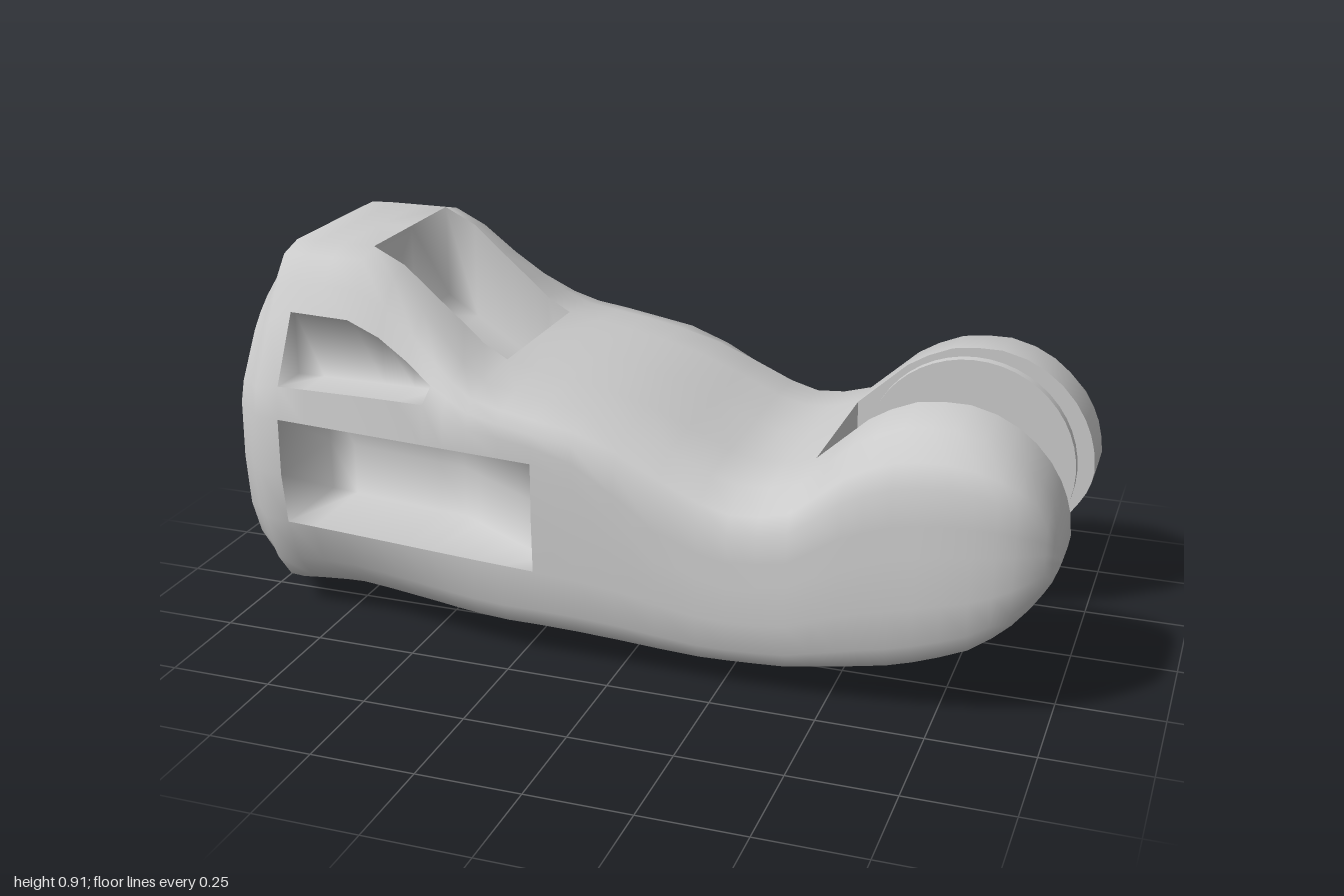
import * as THREE from 'three';
import { toCreasedNormals } from 'three/addons/utils/BufferGeometryUtils.js';

const { lerp, smoothstep } = THREE.MathUtils;
const material = new THREE.MeshStandardMaterial({ color: 0xcccccc, side: THREE.DoubleSide });

// Piecewise-linear curve through [x, value] points
const curve = (pts) => (x) => {
  let i = 1;
  while (i < pts.length - 1 && x > pts[i][0]) i++;
  const [x0, v0] = pts[i - 1], [x1, v1] = pts[i];
  return lerp(v0, v1, Math.min(1, Math.max(0, (x - x0) / (x1 - x0))));
};

// Side profile: upper and lower outline, joined by a round nose
const topLine = curve([[-0.99, 0.82], [-0.91, 0.915], [-0.7, 0.915], [-0.62, 0.875], [-0.54, 0.805], [-0.47, 0.745],
  [-0.42, 0.70], [-0.36, 0.665], [-0.28, 0.65], [-0.2, 0.638], [-0.1, 0.618], [0, 0.59], [0.1, 0.55], [0.2, 0.505],
  [0.27, 0.485], [0.34, 0.49], [0.41, 0.51], [0.47, 0.565], [0.53, 0.62], [0.58, 0.65], [0.64, 0.675], [0.72, 0.685]]);
const top = (x) => x > 0.72 ? 0.4 + 0.285 * Math.sqrt(Math.max(0, 1 - ((x - 0.72) / 0.28) ** 2)) : topLine(x);
const bottom = curve([[-0.99, 0.03], [-0.91, 0], [-0.7, 0.025], [-0.47, 0.04], [-0.2, 0.05], [0.2, 0.045], [0.41, 0.055],
  [0.53, 0.07], [0.64, 0.09], [0.72, 0.115], [0.82, 0.16], [0.87, 0.198], [0.91, 0.235], [0.945, 0.278], [0.97, 0.315],
  [0.985, 0.342], [0.995, 0.37], [1, 0.4]]);
// Width factor that rounds both ends in plan
const taper = curve([[-0.99, 0.72], [-0.91, 1], [0.78, 1], [0.87, 0.95], [0.91, 0.9], [0.945, 0.83], [0.985, 0.68], [1, 0.55]]);
// Edges of the upper side recess, and the floor of the side windows
const recessTop = curve([[-0.99, 0.72], [-0.85, 0.78], [-0.7, 0.775], [-0.62, 0.74], [-0.47, 0.65], [-0.36, 0.61], [-0.2, 0.58]]);
const recessBase = curve([[-0.99, 0.6], [-0.85, 0.62], [-0.47, 0.62], [-0.36, 0.575], [-0.2, 0.55]]);
const windowFloor = curve([[-0.85, 0.21], [-0.47, 0.23], [-0.2, 0.37]]);

const stations = [-0.99, -0.95, -0.91, -0.85, -0.78, -0.7, -0.62, -0.54, -0.47, -0.42, -0.36, -0.28, -0.2, -0.1, 0, 0.1,
  0.2, 0.27, 0.34, 0.41, 0.47, 0.53, 0.58, 0.64, 0.7, 0.76, 0.82, 0.87, 0.91, 0.945, 0.97, 0.985, 0.995, 1];
const ROWS = 14;
const AXIS = 0.41; // height of the socket axis

// Half cross-section (+z side), from top centre round to bottom centre
function section(x) {
  const T = top(x), B = bottom(x), h = T - B;
  const crown = 1 - smoothstep(x, -0.62, -0.3);
  const rear = 1 - smoothstep(x, -0.88, -0.2);
  const front = smoothstep(x, -0.2, 0.15);
  const mix = (back, f) => lerp(back, T - f * h, front);
  const c = mix(recessTop(x), 0.2), d = mix(recessBase(x), 0.35);
  const slope = (x + 0.85) * 0.045;
  const pts = [
    [0, T], [0.2, T],
    [lerp(0.34, 0.265, crown), T - 0.02 * h], [lerp(0.42, 0.315, crown), lerp(T, c, 0.55)],
    [lerp(0.445, 0.355, crown), c], [lerp(0.45, 0.44, crown), d],
    [0.452, mix(0.54 - slope, 0.48)], [0.455, mix(0.4 - slope, 0.58)],
    [lerp(0.452, 0.438, rear), mix(0.27 - slope, 0.69)],
    [lerp(0.45, 0.4, rear), mix(lerp(B + 0.09, B + 0.15, rear), 0.85)],
    [lerp(0.425, 0.345, rear), mix(lerp(B + 0.04, B + 0.08, rear), 0.94)],
    [lerp(0.34, 0.285, rear), mix(lerp(B + 0.01, B + 0.045, rear), 0.985)],
    [0.2, mix(B + 0.016 * rear, 0.996)], [0.12, mix(B + 0.004, 1)], [0, B],
  ];
  // The rear end closes in towards a circle round the socket
  const round = 0.75 * (1 - smoothstep(x, -1.02, -0.9));
  return pts.map(([z, y]) => {
    const w = z > 0.2 ? 0.2 + (z - 0.2) * taper(x) : z;
    const r = Math.hypot(w, y - AXIS);
    const k = round > 0 ? lerp(1, Math.min(1, 0.4 / r), round) : 1;
    return [x, AXIS + (y - AXIS) * k, w * k];
  });
}
const grid = stations.map(section);

// Collects quads together with their mirror image across z = 0
function mirroredMesh(name, crease, fill) {
  const pos = [];
  const flip = ([x, y, z]) => [x, y, -z];
  const tri = (a, b, c) => {
    const [p, q, r] = [a, b, c].map((v) => new THREE.Vector3(...v));
    if (q.sub(p).cross(r.sub(p)).length() < 1e-8) return;
    pos.push(...a, ...b, ...c, ...flip(a), ...flip(c), ...flip(b));
  };
  fill((a, b, c, d) => { tri(a, b, c); tri(a, c, d); });
  const geometry = new THREE.BufferGeometry();
  geometry.setAttribute('position', new THREE.Float32BufferAttribute(pos, 3));
  const mesh = new THREE.Mesh(toCreasedNormals(geometry, crease), material);
  mesh.name = name;
  return mesh;
}

// Openings in the shell: x range, row range and a rule that moves the skin in to the pocket floor
const pockets = [
  { name: 'sideWindows', x0: -0.85, x1: -0.2, r0: 6, r1: 8, sink: ([x, y]) => [x, y, windowFloor(x)] },
  { name: 'upperSideRecesses', x0: -0.85, x1: -0.47, r0: 4, r1: 5, sink: ([x, y]) => [x, y, 0.338] },
  { name: 'topPocket', x0: -0.7, x1: -0.36, r0: 0, r1: 1, sink: ([x, y, z]) => [x, 0.68 - 0.65 * (x + 0.7), z] },
  { name: 'bottomSlot', x0: -0.85, x1: -0.28, r0: 13, r1: 14, sink: ([x, y, z]) => [x, y + 0.14, z] },
];
const inside = (p, i, r) => stations[i] >= p.x0 && stations[i + 1] <= p.x1 && r >= p.r0 && r < p.r1;

function buildPocket(p) {
  return mirroredMesh(p.name, 1.75, (quad) => {
    for (let i = 0; i < stations.length - 1; i++) for (let r = p.r0; r < p.r1; r++) {
      if (!inside(p, i, r)) continue;
      const corners = [grid[i][r], grid[i][r + 1], grid[i + 1][r + 1], grid[i + 1][r]];
      const floor = corners.map(p.sink);
      quad(...floor);
      const border = [stations[i] === p.x0, r + 1 === p.r1 && p.r1 !== ROWS, stations[i + 1] === p.x1, r === p.r0 && r !== 0];
      border.forEach((isEdge, k) => {
        const n = (k + 1) % 4;
        if (isEdge) quad(corners[k], corners[n], floor[n], floor[k]);
      });
    }
  });
}

export function createModel() {
  const group = new THREE.Group();

  // Outer skin, left open at the pockets and between the prongs
  group.add(mirroredMesh('bodyShell', 1.2, (quad) => {
    for (let i = 0; i < stations.length - 1; i++) for (let r = 0; r < ROWS; r++) {
      const x = stations[i];
      const gap = (r === 0 && x >= 0.41) || (r >= 12 && x >= 0.64);
      if (gap || pockets.some((p) => inside(p, i, r))) continue;
      quad(grid[i][r], grid[i][r + 1], grid[i + 1][r + 1], grid[i + 1][r]);
    }
  }));
  pockets.forEach((p) => group.add(buildPocket(p)));

  // Rear face, rim and shallow dished socket
  const ring = (x, radius) => grid[0].map(([, y, z]) => {
    const a = Math.atan2(z, y - AXIS);
    return [x, AXIS + radius * Math.cos(a), radius * Math.sin(a)];
  });
  const rings = [ring(-0.86, 0), ring(-0.865, 0.2), ring(-0.88, 0.29), ring(-0.98, 0.335), ring(-1, 0.345), grid[0]];
  group.add(mirroredMesh('rearSocket', 0.6, (quad) => {
    for (let i = 0; i < rings.length - 1; i++) for (let r = 0; r < ROWS; r++)
      quad(rings[i][r], rings[i][r + 1], rings[i + 1][r + 1], rings[i + 1][r]);
  }));

  // Concave end wall of the fork, concentric with the hinge
  const arc = [[0.41, top(0.41)]];
  for (let k = 0; k <= 9; k++) {
    const a = Math.PI + (k / 9) * 1.36;
    arc.push([0.7 + 0.29 * Math.cos(a), 0.395 + 0.29 * Math.sin(a)]);
  }
  arc.push([0.64, bottom(0.64)]);
  group.add(mirroredMesh('forkEndWall', 0.7, (quad) => {
    for (let k = 0; k < arc.length - 1; k++) {
      const [a, b] = [arc[k], arc[k + 1]];
      quad([...a, 0], [...a, 0.2], [...b, 0.2], [...b, 0]);
    }
  }));

  // Flat inner faces of the prongs, each with a raised hinge disc
  const lower = stations.filter((x) => x > 0.64).map((x) => [x, bottom(x)]);
  const upper = stations.filter((x) => x > 0.41 && x < 1).reverse().map((x) => [x, top(x)]);
  const outline = new THREE.Shape([...arc, ...lower, ...upper].map(([x, y]) => new THREE.Vector2(x, y)));
  for (const side of [1, -1]) {
    const face = new THREE.Mesh(new THREE.ShapeGeometry(outline), material);
    face.name = side > 0 ? 'frontProngInnerFace' : 'backProngInnerFace';
    face.position.z = 0.2 * side;
    const disc = new THREE.Mesh(new THREE.CylinderGeometry(0.262, 0.262, 0.04, 48).rotateX(Math.PI / 2), material);
    disc.name = side > 0 ? 'frontHingeDisc' : 'backHingeDisc';
    disc.position.set(0.697, 0.397, 0.195 * side);
    group.add(face, disc);
  }
  return group;
}
